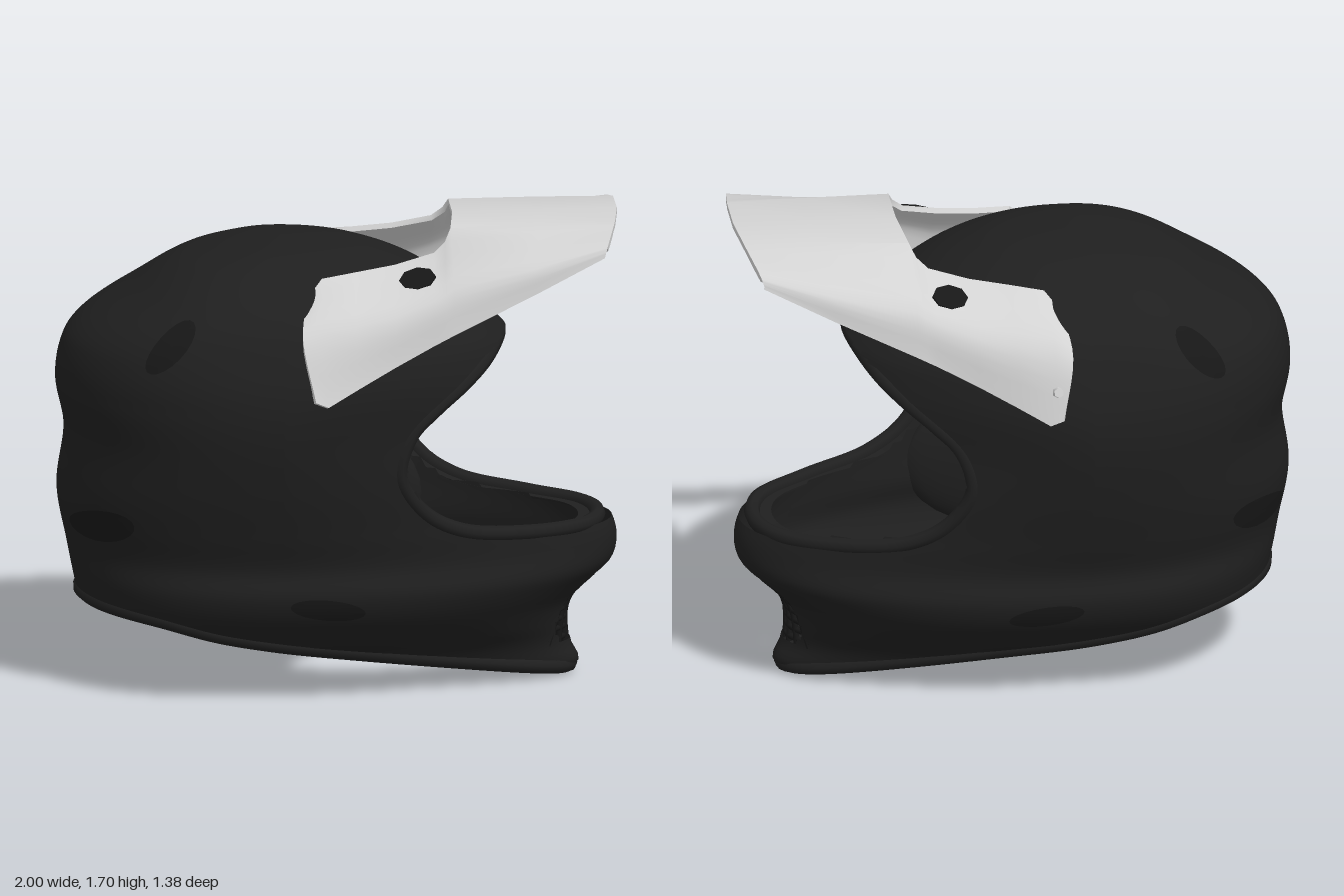
import * as THREE from 'three';
import { toCreasedNormals } from 'three/addons/utils/BufferGeometryUtils.js';

const V = (x, y, z) => new THREE.Vector3(x, y, z);
const shellMat = new THREE.MeshStandardMaterial({ color: 0x1f1f1f, side: THREE.DoubleSide });
shellMat.name = 'matte black';
const ventMat = new THREE.MeshStandardMaterial({ color: 0x171717, side: THREE.DoubleSide });
ventMat.name = 'vent black';
const visorMat = new THREE.MeshStandardMaterial({ color: 0xd2d2d2, side: THREE.DoubleSide });
visorMat.name = 'light grey';

// Interpolate a table of [position, value] pairs, smoothly or straight
function lookup(t, s, smooth = true) {
  const n = t.length - 1;
  if (s <= t[0][0]) return t[0][1];
  if (s >= t[n][0]) return t[n][1];
  let i = 0;
  while (s > t[i + 1][0]) i++;
  const h = t[i + 1][0] - t[i][0], f = (s - t[i][0]) / h, a = t[i][1], b = t[i + 1][1];
  if (!smooth) return a + (b - a) * f;
  const slope = (k) => {
    const p = t[Math.max(k - 1, 0)], q = t[Math.min(k + 1, n)];
    return (q[1] - p[1]) / (q[0] - p[0]);
  };
  const f2 = f * f, f3 = f2 * f;
  return (2 * f3 - 3 * f2 + 1) * a + (f3 - 2 * f2 + f) * h * slope(i)
    + (3 * f2 - 2 * f3) * b + (f3 - f2) * h * slope(i + 1);
}

// Shell outline by height: half width, front and back reach, squareness of front and back
const TOP = 1.605, XC = -0.2;
const width = [[0, 0.25], [0.1, 0.325], [0.15, 0.37], [0.2, 0.44], [0.3, 0.54], [0.4, 0.58], [0.5, 0.565], [0.62, 0.6],
  [0.8, 0.65], [1, 0.685], [1.15, 0.68], [1.3, 0.63], [1.4, 0.57], [1.5, 0.45], [1.57, 0.3], [1.595, 0.18], [TOP, 0]];
const front = [[0, 0.8], [0.04, 0.86], [0.12, 0.83], [0.27, 0.835], [0.35, 0.9], [0.42, 0.975], [0.5, 0.995], [0.58, 0.975],
  [0.65, 0.92], [0.9, 0.76], [1.25, 0.615], [1.3, 0.57], [1.38, 0.47], [1.5, 0.3], [1.57, 0.13], [1.595, 0], [TOP, XC]];
const back = [[0.3, -0.92], [0.5, -0.96], [0.7, -0.995], [0.92, -0.97], [1.1, -1], [1.25, -0.97], [1.33, -0.9],
  [1.43, -0.74], [1.53, -0.57], [1.57, -0.43], [1.595, -0.29], [TOP, XC]];
const frontPower = [[0.1, 2], [0.35, 2], [0.6, 1.5], [0.85, 1.35], [1, 1.35], [1.2, 1.7], [1.4, 2]];
const backPower = [[1.1, 2.3], [1.45, 2.9]];
const bottom = [[-0.95, 0.33], [-0.65, 0.3], [-0.4, 0.24], [0, 0.165], [0.4, 0.1], [0.8, 0.03], [0.9, 0.025]];

// The jaw drifts slightly to one side towards the chin
const drift = (x, y) => -0.025 * Math.max(0, 1.2 - y) * (1 + Math.max(x, -0.6));

function shellPoint(y, a) {
  const c = Math.cos(a);
  const x = c > 0 ? XC + (lookup(front, y) - XC) * c ** (2 / lookup(frontPower, y))
    : XC + (lookup(back, y) - XC) * (-c) ** (2 / lookup(backPower, y));
  return V(x, y, lookup(width, y) * Math.sin(a) + drift(x, y));
}
function halfWidth(x, y) {
  const u = x > XC ? ((x - XC) / (lookup(front, y) - XC)) ** lookup(frontPower, y)
    : ((x - XC) / (lookup(back, y) - XC)) ** lookup(backPower, y);
  return lookup(width, y) * Math.sqrt(Math.max(0, 1 - u));
}
function frontPoint(y, z) {
  const x = XC + (lookup(front, y) - XC) * (1 - (z / lookup(width, y)) ** 2) ** (1 / lookup(frontPower, y));
  return V(x - 0.015, y, z + drift(x, y));
}
function aboveEdge(y, a) {
  let p = shellPoint(y, a);
  for (let k = 0; k < 4 && p.y < lookup(bottom, p.x) - 1e-4; k++) p = shellPoint(lookup(bottom, p.x), a);
  return p;
}

// Edge of the face opening, from chin to brow
const opening = [[0.95, 0.58], [0.9, 0.581], [0.7, 0.587], [0.45, 0.62], [0.31, 0.7], [0.225, 0.84], [0.265, 0.99],
  [0.35, 1.075], [0.45, 1.15], [0.53, 1.215], [0.59, 1.272]];
const openingX = opening.map(([x, y]) => [y, x]);
const inFace = (p) => p.y > 0.58 && p.y < 1.272 && p.x > lookup(openingX, p.y, false);
function inVent(p, top) {
  const z = Math.abs(p.z - drift(p.x, p.y));
  return p.x > 0.6 && z < 0.13 && p.y < top && p.y > 0.12 + 0.06 * (z / 0.13) ** 4;
}
const inset = (p) => V(XC + (p.x - XC) * 0.92, p.y - Math.max(0, p.y - 0.8) * 0.09, p.z * 0.87);

// Mesh a grid of points, leaving out the cells that skip() picks
function grid(rows, closed, flip, skip = () => false) {
  const n = rows[0].length, pos = rows.flat().flatMap((p) => [p.x, p.y, p.z]), idx = [];
  for (let j = 0; j < rows.length - 1; j++) for (let i = 0; i < (closed ? n : n - 1); i++) {
    if (skip(j, i)) continue;
    const k = (i + 1) % n, a = j * n + i, b = j * n + k, c = a + n, d = b + n;
    if (flip) idx.push(a, b, c, b, d, c); else idx.push(a, c, b, b, c, d);
  }
  const g = new THREE.BufferGeometry();
  g.setAttribute('position', new THREE.Float32BufferAttribute(pos, 3));
  g.setIndex(idx);
  g.computeVertexNormals();
  return g;
}

// Give an open sheet a thickness, with walls along its free edges
function thicken(sheet, t) {
  const p = sheet.attributes.position, nor = sheet.attributes.normal, src = [...sheet.index.array], n = p.count;
  const pos = [...p.array], idx = [...src], edges = new Set();
  for (let i = 0; i < n * 3; i++) pos.push(p.array[i] - nor.array[i] * t);
  for (let i = 0; i < src.length; i += 3) {
    const tri = src.slice(i, i + 3);
    idx.push(tri[2] + n, tri[1] + n, tri[0] + n);
    tri.forEach((a, k) => edges.add(`${a},${tri[(k + 1) % 3]}`));
  }
  for (const e of edges) {
    const [a, b] = e.split(',').map(Number);
    if (!edges.has(`${b},${a}`)) idx.push(b, a, a + n, b, a + n, b + n);
  }
  const g = new THREE.BufferGeometry();
  g.setAttribute('position', new THREE.Float32BufferAttribute(pos, 3));
  g.setIndex(idx);
  return toCreasedNormals(g, 0.7);
}

export function createModel() {
  const model = new THREE.Group();
  const add = (name, geo, mat) => {
    const m = new THREE.Mesh(geo, mat);
    m.name = name;
    model.add(m);
    return m;
  };
  const tube = (name, pts, r, closed, mat, segs = 160) =>
    add(name, new THREE.TubeGeometry(new THREE.CatmullRomCurve3(pts, closed), segs, r, 8, closed), mat);

  // Outer shell and inner liner, both with face opening and chin vent cut out
  const N = 180, M = 120, rows = [];
  for (let j = 0; j <= M; j++) {
    const y = TOP * Math.sin((Math.PI / 2) * (j / M));
    rows.push(Array.from({ length: N }, (_, i) => aboveEdge(y, (i / N) * Math.PI * 2)));
  }
  const cut = (ventTop) => (j, i) => {
    const c = rows[j][i].clone().add(rows[j + 1][(i + 1) % N]).multiplyScalar(0.5);
    return inFace(c) || inVent(c, ventTop);
  };
  add('shell', grid(rows, true, false, cut(0.375)), shellMat);
  add('liner', grid(rows.map((r) => r.map(inset)), true, true, cut(0.29)), shellMat);

  // Edges of the face opening and the neck: a band from shell to liner with a rolled lip
  const side = (s) => opening.map(([x, y], i) => {
    const z = i === 0 || i === opening.length - 1 ? 0 : halfWidth(x, y);
    return V(x, y, s * z + drift(x, y));
  });
  const loop = new THREE.CatmullRomCurve3([...side(1), ...side(-1).slice(1, -1).reverse()], true);
  const face = loop.getPoints(120).slice(0, -1);
  add('faceOpeningBand', grid([face, face.map(inset)], true, false), shellMat);
  tube('faceOpeningRim', face.map((p) => p.clone().lerp(inset(p), 0.25)), 0.028, true, shellMat, 180);
  const neck = Array.from({ length: 96 }, (_, i) => aboveEdge(0, (i / 96) * Math.PI * 2));
  add('neckBand', grid([neck, neck.map(inset)], true, true), shellMat);
  tube('neckRim', neck.map((p) => {
    const q = p.clone().lerp(inset(p), 0.3);
    return V(q.x, Math.max(q.y, 0.029), q.z);
  }), 0.029, true, shellMat);

  // Cheek pads
  for (const s of [1, -1]) {
    const pad = add('cheekPad', new THREE.SphereGeometry(1, 24, 16), shellMat);
    pad.scale.set(0.42, 0.27, 0.08);
    pad.position.set(-0.1, 0.56, s * 0.44 - 0.015);
  }

  // Chin grille
  for (let k = -3; k <= 3; k++) {
    const bar = [0.12, 0.18, 0.24, 0.3, 0.38].map((y) => frontPoint(y, k * 0.04));
    tube('grilleUpright', bar, 0.011, false, ventMat, 12);
  }
  for (let y = 0.14; y < 0.38; y += 0.037) {
    const bar = [-0.13, -0.06, 0, 0.06, 0.13].map((z) => frontPoint(y, z));
    tube('grilleCrossbar', bar, 0.011, false, ventMat, 12);
  }

  // Side vents: [x, y, half length, half height, tilt]
  const vents = [[-0.84, 0.63, 0.115, 0.06, 0.2], [-0.04, 0.36, 0.135, 0.04, -0.12], [-0.6, 1.32, 0.12, 0.045, 0.8]];
  for (const [cx, cy, a, b, tilt] of vents) for (const s of [1, -1]) {
    const g = new THREE.RingGeometry(0.001, 1, 20, 4), p = g.attributes.position;
    for (let i = 0; i < p.count; i++) {
      const u = p.getX(i) * a, v = p.getY(i) * b;
      const x = cx + u * Math.cos(tilt) - v * Math.sin(tilt), y = cy + u * Math.sin(tilt) + v * Math.cos(tilt);
      p.setXYZ(i, x, y, s * (halfWidth(x, y) + 0.008) + drift(x, y));
    }
    if (s < 0) g.setIndex([...g.index.array].reverse());
    g.computeVertexNormals();
    add('sideVent', g, ventMat);
  }

  // Visor: stations from the rear wings to the peak, each with lower edge, bulge, upper edge, centre height
  const stations = [
    [[-0.085, 1.15, 0.69], [-0.13, 1.36, 0.62], [-0.115, 1.475, 0.46], 1.6],
    [[-0.04, 1.13, 0.68], [-0.07, 1.385, 0.6], [-0.06, 1.535, 0.395], 1.6],
    [[0.07, 1.185, 0.625], [0.06, 1.4, 0.57], [0.06, 1.55, 0.36], 1.6],
    [[0.2, 1.25, 0.57], [0.2, 1.425, 0.535], [0.2, 1.57, 0.33], 1.6],
    [[0.34, 1.32, 0.53], [0.34, 1.475, 0.5], [0.34, 1.605, 0.295], 1.62],
    [[0.38, 1.34, 0.525], [0.38, 1.495, 0.49], [0.38, 1.64, 0.27], 1.65],
    [[0.41, 1.355, 0.52], [0.41, 1.515, 0.48], [0.4, 1.68, 0.23], 1.685],
    [[0.7, 1.49, 0.465], [0.7, 1.58, 0.45], [0.72, 1.69, 0.215], 1.695],
    [[0.945, 1.61, 0.415], [0.955, 1.645, 0.4], [0.985, 1.695, 0.2], 1.7],
  ];
  const visorRows = stations.map(([o, m, i, cy]) => {
    const wing = new THREE.CatmullRomCurve3([V(...o), V(...m), V(...i)]).getPoints(10);
    const centre = V(i[0] + 0.01, cy, 0);
    return [...wing, centre, ...wing.map((p) => V(p.x, p.y, -p.z)).reverse()];
  });
  const sheet = grid(visorRows, false, false, (j, i) => j < 6 && (i === 10 || i === 11));
  add('visor', thicken(sheet, 0.02), visorMat);

  // Visor vent holes, and one mounting screw on the right wing
  for (const s of [1, -1]) {
    const hole = add('visorHole', new THREE.CylinderGeometry(1, 1, 0.009, 8), ventMat);
    hole.scale.set(0.066, 1, 0.05);
    hole.position.set(0.28, 1.537, s * 0.412);
    hole.rotation.set(s * 0.65, 0, 0.19);
  }
  const screw = add('visorScrew', new THREE.CylinderGeometry(0.018, 0.022, 0.03, 6), visorMat);
  screw.position.set(-0.07, 1.25, -0.66);
  screw.rotation.x = -1.3;
  return model;
}
